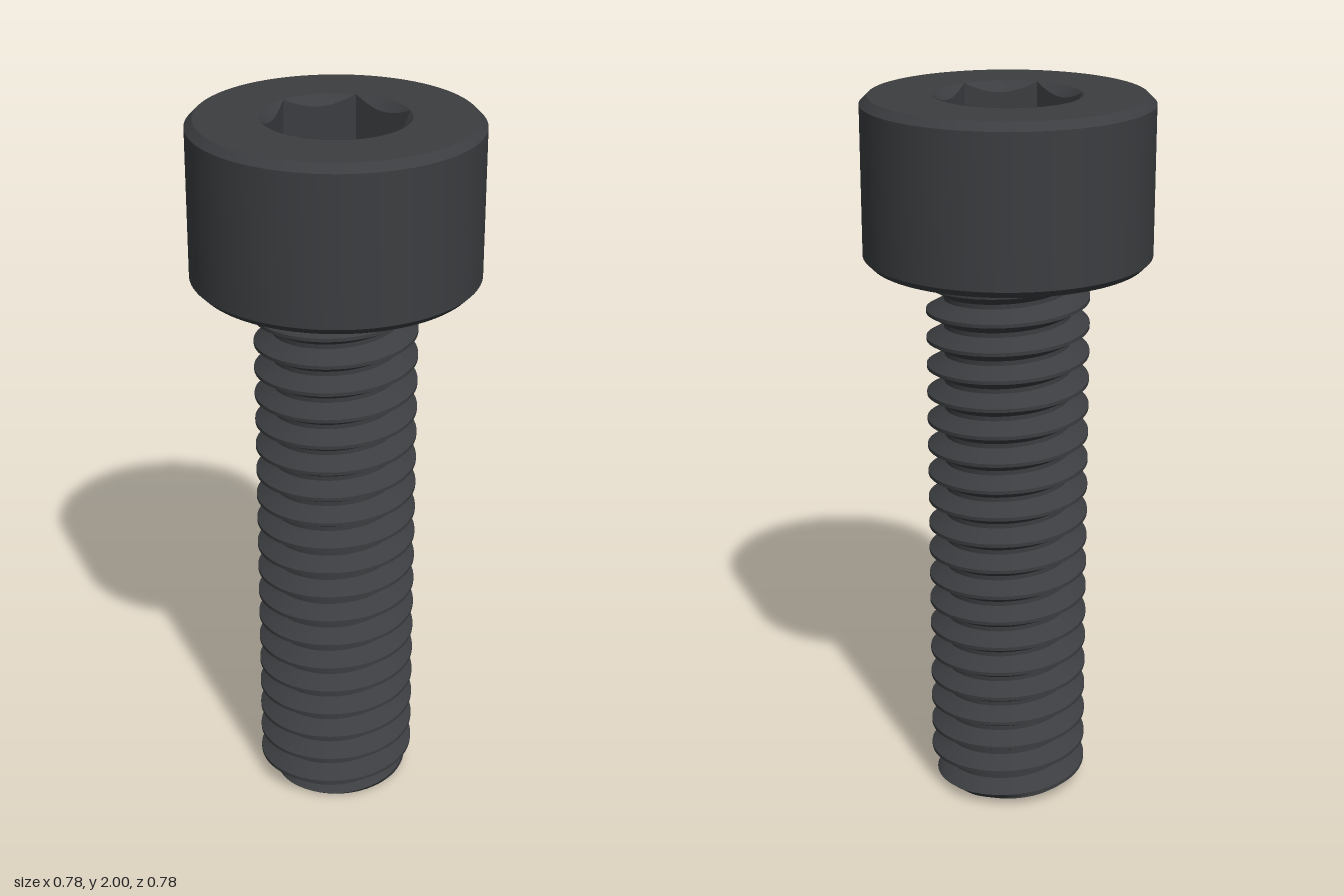
import * as THREE from 'three';
import { toCreasedNormals } from 'three/addons/utils/BufferGeometryUtils.js';

const SEG = 96;
const HEAD_BASE = 1.556, TOP = 2, RIM = 0.197;
const MAJOR = 0.222, MINOR = 0.174, PITCH = 0.0778, THREAD_TOP = 1.53;
const clamp = THREE.MathUtils.clamp;

// Closed-around surface: point(row, angle) returns [radius, y]
function roundSurface(rows, point) {
  const pos = [], index = [];
  for (let i = 0; i < rows; i++) {
    for (let j = 0; j <= SEG; j++) {
      const a = (j / SEG) * Math.PI * 2;
      const [r, y] = point(i, a);
      pos.push(r * Math.cos(a), y, r * Math.sin(a));
      if (i < rows - 1 && j < SEG) {
        const p = i * (SEG + 1) + j, q = p + SEG + 1;
        index.push(p, q, q + 1, p, q + 1, p + 1);
      }
    }
  }
  const geo = new THREE.BufferGeometry();
  geo.setAttribute('position', new THREE.Float32BufferAttribute(pos, 3));
  geo.setIndex(index);
  return toCreasedNormals(geo, 0.5);
}

// Thread radius at height y and angle a, with the tip chamfer
const crestY = (a) => 1.522 - ((a - Math.PI) / (2 * Math.PI)) * PITCH;
function threadRadius(y, a) {
  const t = (y - crestY(a)) / PITCH;
  const d = Math.abs(t - Math.round(t));
  const r = clamp(MAJOR - ((d - 0.0625) / 0.356) * (MAJOR - MINOR), MINOR, MAJOR);
  return Math.min(r, 0.18 + y * 1.2);
}

// Threaded shank: flat tip, helical rows, then the fillet under the head
function shankGeometry() {
  const steps = [-0.0625, 0.0625, 0.24, 0.4185, 0.5815, 0.76];
  const helix = [];
  for (let n = -21; n <= 2; n++) for (const s of steps) helix.push((n + s) * PITCH);
  const fillet = [[MAJOR, THREAD_TOP + 0.003]];
  for (let k = 1; k <= 4; k++) {
    const f = (k / 4) * Math.PI / 2;
    fillet.push([MAJOR + 0.023 * (1 - Math.cos(f)), THREAD_TOP + 0.003 + 0.023 * Math.sin(f)]);
  }
  return roundSurface(1 + helix.length + fillet.length, (i, a) => {
    if (i === 0) return [0, 0];
    if (i > helix.length) return fillet[i - helix.length - 1];
    const y = clamp(crestY(a) + helix[i - 1], 0, THREAD_TOP);
    return [threadRadius(y, a), y];
  });
}

// Cylindrical head with chamfered edges, open at the socket rim
function headGeometry() {
  const profile = [
    [0.2, HEAD_BASE], [0.37, HEAD_BASE], [0.389, HEAD_BASE + 0.019],
    [0.389, TOP - 0.021], [0.368, TOP], [RIM, TOP],
  ];
  return roundSurface(profile.length, (i) => profile[i]);
}

// Hexagonal socket with a conical lead-in
function socketGeometry() {
  const floor = TOP - 0.222;
  return roundSurface(4, (i, a) => {
    const r = (RIM * Math.cos(Math.PI / 6)) / Math.cos((a % (Math.PI / 3)) - Math.PI / 6);
    return [[RIM, TOP], [r, TOP - (RIM - r)], [r, floor], [0, floor]][i];
  });
}

export function createModel() {
  const group = new THREE.Group();
  group.name = 'socketHeadScrew';
  const material = new THREE.MeshStandardMaterial({ color: 0x3b3d40 });
  const parts = {
    threadedShank: shankGeometry(),
    head: headGeometry(),
    hexSocket: socketGeometry(),
  };
  for (const [name, geo] of Object.entries(parts)) {
    const mesh = new THREE.Mesh(geo, material);
    mesh.name = name;
    group.add(mesh);
  }
  return group;
}
